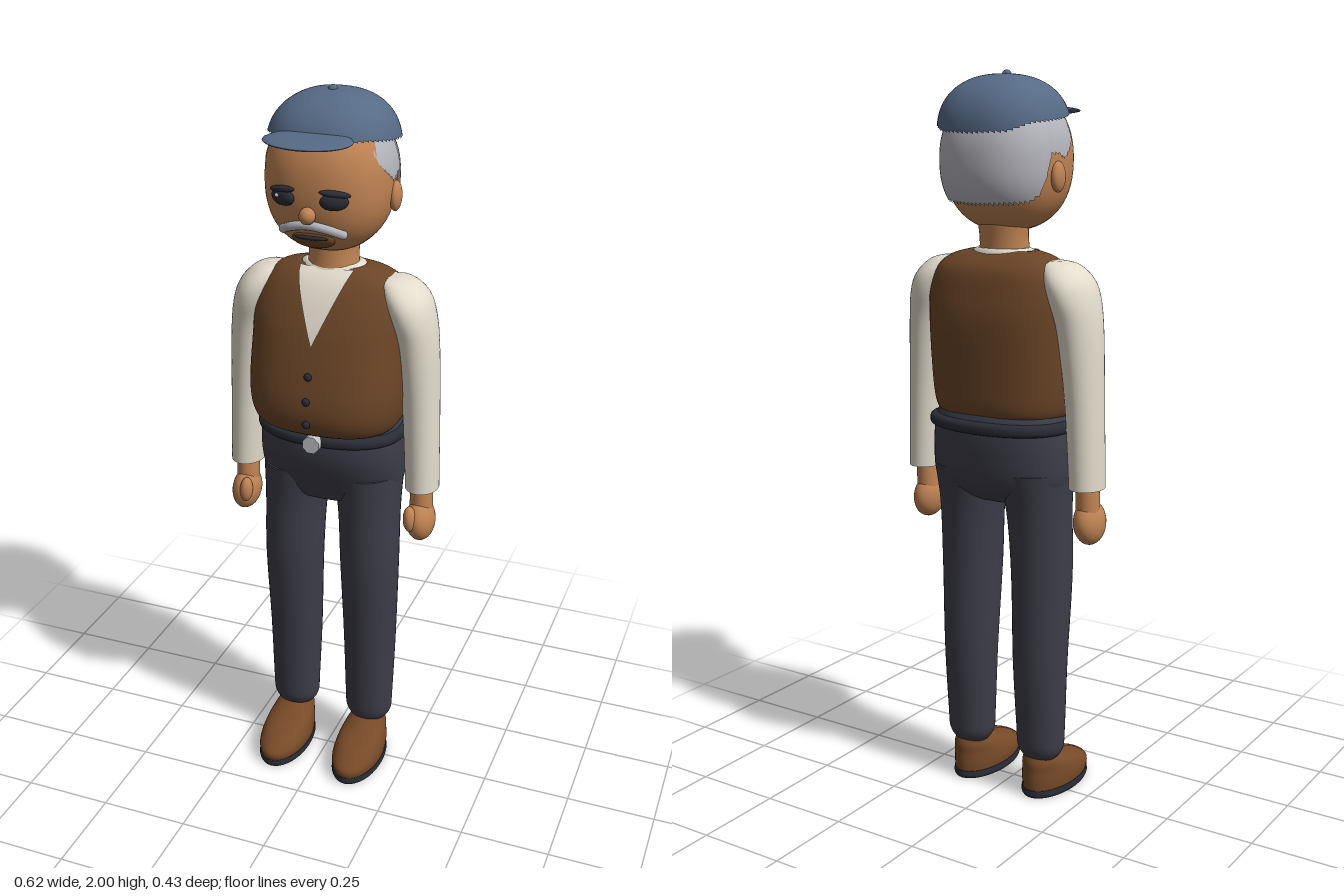
import * as THREE from 'three';
import { mergeVertices } from 'three/addons/utils/BufferGeometryUtils.js';

const mat = (name, color) => new THREE.MeshStandardMaterial({ name, color });

// Catmull-Rom refinement of key rings [y, cx, cz, rx, rz], listed bottom to top
function refine(keys, steps = 5) {
  const out = [];
  const at = i => keys[Math.min(Math.max(i, 0), keys.length - 1)];
  for (let i = 0; i < keys.length - 1; i++) {
    for (let s = 0; s < steps; s++) {
      const t = s / steps;
      out.push(keys[i].map((b, k) => {
        const a = at(i - 1)[k], c = at(i + 1)[k], d = at(i + 2)[k];
        return b + 0.5 * t * (c - a + t * (2 * a - 5 * b + 4 * c - d + t * (3 * (b - c) + d - a)));
      }));
    }
  }
  out.push(keys[keys.length - 1]);
  return out;
}

// Closed body through superellipse rings
function loft(rings, n = 2, seg = 40) {
  const pos = [], idx = [];
  const addRing = r => {
    for (let j = 0; j < seg; j++) {
      const a = j / seg * Math.PI * 2, s = Math.sin(a), c = Math.cos(a);
      const k = (Math.abs(s) ** n + Math.abs(c) ** n) ** (-1 / n);
      pos.push(r[1] + r[3] * s * k, r[0], r[2] + r[4] * c * k);
    }
  };
  rings.forEach(addRing);
  for (let i = 0; i < rings.length - 1; i++) {
    for (let j = 0; j < seg; j++) {
      const a = i * seg + j, b = i * seg + (j + 1) % seg;
      idx.push(a, b, b + seg, a, b + seg, a + seg);
    }
  }
  [rings[0], rings[rings.length - 1]].forEach((r, top) => {
    const start = pos.length / 3;
    addRing(r);
    pos.push(r[1], r[0], r[2]);
    for (let j = 0; j < seg; j++) {
      const a = start + j, b = start + (j + 1) % seg;
      idx.push(start + seg, top ? a : b, top ? b : a);
    }
  });
  const g = new THREE.BufferGeometry();
  g.setAttribute('position', new THREE.Float32BufferAttribute(pos, 3));
  g.setIndex(idx);
  g.computeVertexNormals();
  return g;
}

// Squarish ellipsoid, optionally cut off at height bottom(azimuth in degrees, 0 = front)
const N = 2.3;
function dome([cx, cy, cz], [rx, ry, rz], bottom) {
  const g = new THREE.SphereGeometry(1, 72, 36);
  const p = g.attributes.position;
  for (let i = 0; i < p.count; i++) {
    const az = Math.atan2(p.getX(i), p.getZ(i));
    let phi = Math.acos(THREE.MathUtils.clamp(p.getY(i), -1, 1));
    if (bottom) {
      const y = bottom(Math.abs(az) * 180 / Math.PI);
      phi *= Math.acos(THREE.MathUtils.clamp((y - cy) / ry, -1, 1)) / Math.PI;
    }
    const d = [Math.sin(phi) * Math.sin(az), Math.cos(phi), Math.sin(phi) * Math.cos(az)];
    const k = d.reduce((s, v) => s + Math.abs(v) ** N, 0) ** (-1 / N);
    p.setXYZ(i, cx + rx * d[0] * k, cy + ry * d[1] * k, cz + rz * d[2] * k);
  }
  g.deleteAttribute('uv');
  g.deleteAttribute('normal');
  const m = mergeVertices(g, 1e-5);
  m.computeVertexNormals();
  return m;
}

// Piecewise linear lookup in [[x, value], ...]
const lookup = pts => x => {
  let i = 1;
  while (i < pts.length - 1 && x > pts[i][0]) i++;
  const [a, b] = [pts[i - 1], pts[i]];
  return THREE.MathUtils.lerp(a[1], b[1], THREE.MathUtils.clamp((x - a[0]) / (b[0] - a[0]), 0, 1));
};

export function createModel() {
  const root = new THREE.Group();
  const skin = mat('skin', 0xc08353), vestMat = mat('vest brown', 0x6b4527);
  const cream = mat('shirt cream', 0xe3dccd), slate = mat('trouser slate', 0x3d3d49);
  const blue = mat('cap blue', 0x566a86), grey = mat('hair grey', 0xb5b5bd);
  const leather = mat('shoe leather', 0x774a28), dark = mat('dark', 0x2a2c35);
  const metal = mat('buckle metal', 0xc4c6cc);
  cream.side = grey.side = blue.side = THREE.DoubleSide;

  const add = (name, geo, m) => {
    const mesh = new THREE.Mesh(geo, m);
    mesh.name = name;
    root.add(mesh);
    return mesh;
  };
  const ball = (name, m, pos, size, rotZ = 0) => {
    const b = add(name, new THREE.SphereGeometry(1, 24, 16), m);
    b.position.set(...pos);
    b.scale.set(...size);
    b.rotation.z = rotZ;
    return b;
  };

  // Vest and shirt front
  const vestRings = refine([
    [1.09, 0, -0.035, 0.175, 0.13], [1.12, 0, -0.02, 0.2, 0.165], [1.2, 0, -0.016, 0.214, 0.174],
    [1.35, 0, -0.037, 0.214, 0.157], [1.43, 0, -0.047, 0.212, 0.135], [1.49, 0, -0.055, 0.188, 0.11],
    [1.522, 0, -0.053, 0.15, 0.08], [1.537, 0, -0.05, 0.1, 0.055]]);
  const VN = 2.5;
  add('vest', loft(vestRings, VN, 56), vestMat);
  const vestZ = (x, y) => {
    const [cz, rx, rz] = [2, 3, 4].map(k => lookup(vestRings.map(r => [r[0], r[k]]))(y));
    return cz + rz * Math.max(0, 1 - Math.abs(x / rx) ** VN) ** (1 / VN);
  };
  const vee = new THREE.PlaneGeometry(1, 1, 12, 16), vp = vee.attributes.position;
  for (let i = 0; i < vp.count; i++) {
    const t = vp.getY(i) + 0.5, y = 1.35 + 0.184 * t, x = vp.getX(i) * 0.15 * t;
    vp.setXYZ(i, x, y + 0.003, vestZ(x, y) + 0.005);
  }
  vee.computeVertexNormals();
  add('shirtFront', vee, cream);
  add('shirtCollar', loft([[1.51, 0, -0.05, 0.1, 0.075], [1.535, 0, -0.05, 0.092, 0.07],
    [1.543, 0, -0.05, 0.075, 0.06]]), cream);
  for (const y of [1.15, 1.215, 1.28]) ball('vestButton', dark, [0, y, vestZ(0, y) + 0.006], [0.011, 0.011, 0.007]);

  // Trousers, belt and buckle
  add('hips', loft(refine([
    [0.855, 0, -0.045, 0.1, 0.06], [0.875, 0, -0.047, 0.165, 0.09], [0.92, 0, -0.055, 0.2, 0.12],
    [1.0, 0, -0.047, 0.206, 0.142], [1.07, 0, -0.045, 0.2, 0.145], [1.115, 0, -0.047, 0.185, 0.13]]), 2.3), slate);
  add('belt', loft(refine([[1.058, 0, -0.048, 0.196, 0.145], [1.065, 0, -0.048, 0.21, 0.158],
    [1.085, 0, -0.048, 0.21, 0.158], [1.092, 0, -0.048, 0.196, 0.145]], 3), 2.3, 56), dark);
  const buckle = add('buckle', new THREE.CylinderGeometry(0.025, 0.025, 0.03, 8), metal);
  buckle.rotation.set(Math.PI / 2, Math.PI / 8, 0);
  buckle.position.set(0, 1.075, 0.115);

  for (const s of [-1, 1]) {
    const side = s > 0 ? 'left' : 'right';
    const limb = (name, keys, m) =>
      add(side + name, loft(refine(keys.map(([y, x, ...r]) => [y, s * x, ...r]))), m);
    // Leg and shoe
    limb('Leg', [
      [0.108, 0.117, -0.043, 0.045, 0.04], [0.14, 0.117, -0.043, 0.067, 0.057], [0.2, 0.117, -0.043, 0.071, 0.063],
      [0.4, 0.116, -0.045, 0.077, 0.076], [0.65, 0.115, -0.036, 0.084, 0.089],
      [0.83, 0.11, -0.042, 0.088, 0.098], [0.95, 0.102, -0.052, 0.1, 0.118]], slate);
    limb('Sole', [[0, 0.117, 0.037, 0.07, 0.135], [0.008, 0.117, 0.037, 0.073, 0.139], [0.022, 0.117, 0.037, 0.071, 0.137]], dark);
    limb('Shoe', [
      [0.018, 0.117, 0.037, 0.069, 0.135], [0.045, 0.117, 0.037, 0.072, 0.136], [0.075, 0.117, 0.015, 0.067, 0.112],
      [0.1, 0.117, -0.022, 0.057, 0.074], [0.125, 0.117, -0.043, 0.042, 0.043]], leather);
    // Sleeve, wrist and hand
    limb('Sleeve', [
      [0.917, 0.262, -0.047, 0.046, 0.058], [1.15, 0.252, -0.048, 0.05, 0.062], [1.33, 0.237, -0.048, 0.057, 0.076],
      [1.42, 0.218, -0.049, 0.062, 0.092], [1.47, 0.2, -0.05, 0.06, 0.086],
      [1.505, 0.178, -0.05, 0.046, 0.058], [1.516, 0.165, -0.05, 0.02, 0.025]], cream);
    limb('Wrist', [[0.84, 0.262, -0.042, 0.033, 0.036], [0.93, 0.262, -0.045, 0.03, 0.036]], skin);
    ball(side + 'Hand', skin, [s * 0.264, 0.82, -0.035], [0.04, 0.062, 0.058], s * 0.08);
    ball(side + 'Thumb', skin, [s * 0.246, 0.838, 0.012], [0.018, 0.038, 0.022], s * 0.05);
    ball(side + 'Ear', skin, [s * 0.166, 1.73, -0.048], [0.016, 0.04, 0.027]);
  }

  // Neck and head
  add('neck', loft(refine([[1.5, 0, -0.042, 0.074, 0.064], [1.57, 0, -0.048, 0.067, 0.062],
    [1.65, 0, -0.056, 0.074, 0.068]])), skin);
  const hc = [0, 1.77, -0.025], hr = [0.165, 0.186, 0.165];
  add('head', dome(hc, hr), skin);
  const faceZ = (x, y) => hc[2] + hr[2] *
    Math.max(0, 1 - Math.abs(x / hr[0]) ** N - Math.abs((y - hc[1]) / hr[1]) ** N) ** (1 / N);
  add('hair', dome([0, 1.77, -0.035], [0.17, 0.182, 0.171], lookup([[0, 1.895], [30, 1.885], [55, 1.865],
    [66, 1.815], [86, 1.77], [94, 1.785], [106, 1.785], [113, 1.69], [125, 1.67], [180, 1.66]])), grey);

  // Face
  ball('nose', skin, [0, 1.712, faceZ(0, 1.712) + 0.008], [0.021, 0.022, 0.022]);
  for (const s of [-1, 1]) {
    const eye = ball('eye', dark, [s * 0.068, 1.752, faceZ(0.068, 1.752) + 0.004], [0.036, 0.022, 0.014]);
    eye.rotation.y = s * 0.35;
    ball('eyeGlint', metal, [s * 0.068 - 0.012, 1.758, faceZ(0.068, 1.752) + 0.016], [0.005, 0.005, 0.004]);
    const brow = ball('eyebrow', dark, [s * 0.07, 1.772, faceZ(0.07, 1.772) + 0.005], [0.04, 0.009, 0.011], -s * 0.12);
    brow.rotation.y = s * 0.35;
  }
  ball('mouth', vestMat, [0, 1.64, faceZ(0, 1.64) - 0.004], [0.058, 0.027, 0.016]).rotation.x = 0.5;
  ball('lips', dark, [0, 1.648, faceZ(0, 1.648) + 0.006], [0.045, 0.006, 0.008]);
  const stache = [-0.08, -0.05, -0.02, 0, 0.02, 0.05, 0.08].map(x => {
    const y = 1.684 - 3.6 * x * x;
    return new THREE.Vector3(x, y, faceZ(x, y) + 0.004);
  });
  add('moustache', new THREE.TubeGeometry(new THREE.CatmullRomCurve3(stache), 32, 0.012, 10), grey);
  for (const e of [stache[0], stache[6]]) ball('moustacheTip', grey, e.toArray(), [0.012, 0.012, 0.012]);

  // Cap
  add('cap', dome([0, 1.84, -0.047], [0.17, 0.15, 0.168],
    lookup([[0, 1.888], [50, 1.885], [90, 1.872], [125, 1.862], [145, 1.842], [180, 1.838]])), blue);
  ball('capButton', blue, [0, 1.987, -0.035], [0.013, 0.013, 0.013]);
  ball('capBrim', blue, [0, 1.898, 0.136], [0.116, 0.011, 0.079]).rotation.x = 0.06;
  return root;
}
